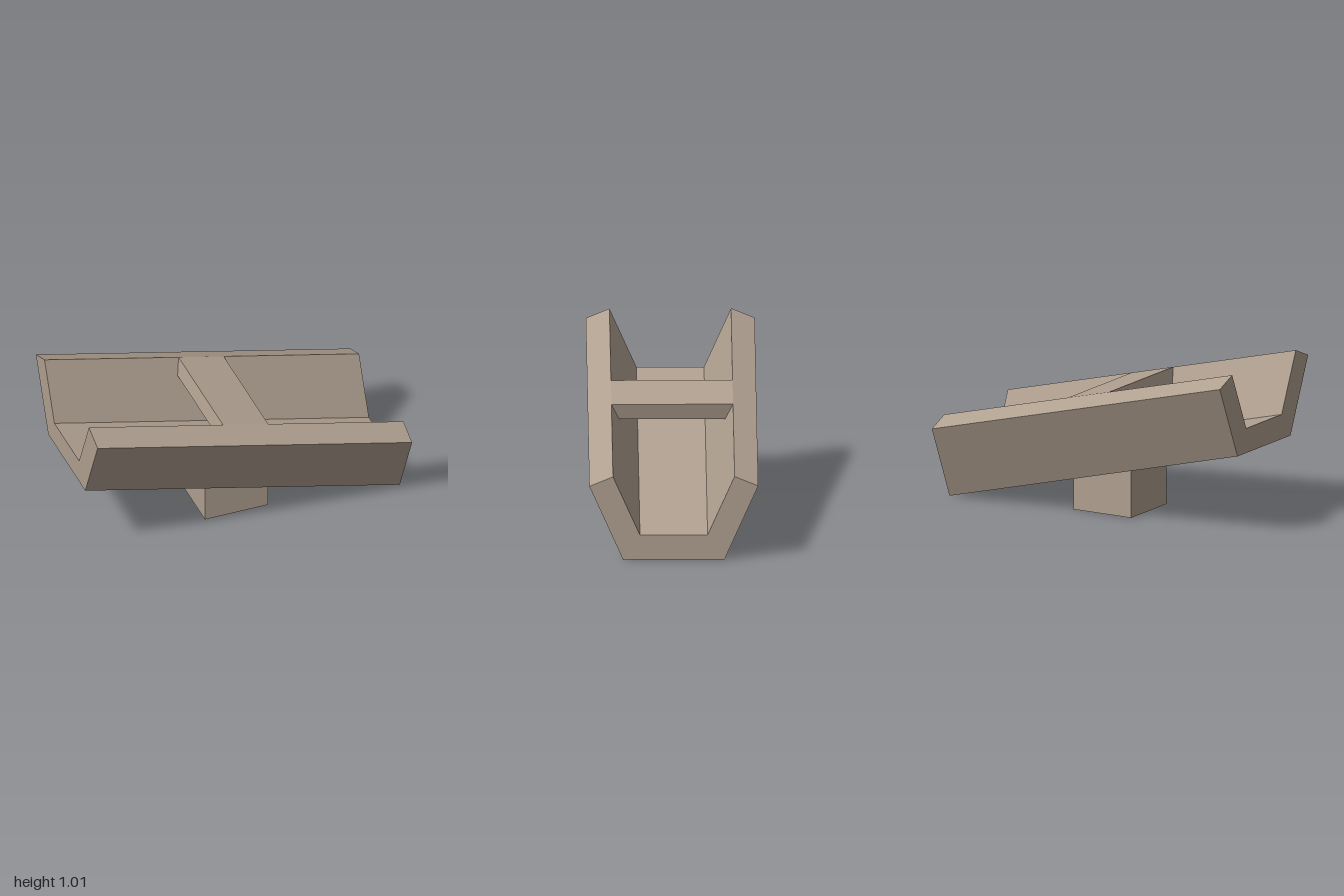
import * as THREE from 'three';

const SLOPE = 0.25;

// Extrudes a [z, y] outline along x, centred on x = 0
function prismAlongX(points, length) {
  const shape = new THREE.Shape(points.map(([z, y]) => new THREE.Vector2(z, y)));
  const geo = new THREE.ExtrudeGeometry(shape, { depth: length, bevelEnabled: false });
  return geo.translate(0, 0, -length / 2).rotateY(Math.PI / 2);
}

export function createModel() {
  const group = new THREE.Group();
  const stone = new THREE.MeshStandardMaterial({ color: 0xb0a090 });
  stone.name = 'warm stone';

  const add = (name, geo) => {
    const mesh = new THREE.Mesh(geo, stone);
    mesh.name = name;
    group.add(mesh);
    return mesh;
  };

  // Open channel, sheared so it falls towards +x while its ends stay vertical
  const half = [[0.3, 0], [0.5, 0.45], [0.36, 0.508], [0.2, 0.15]];
  const mirrored = half.map(([z, y]) => [-z, y]).reverse();
  const trough = prismAlongX([...half, ...mirrored], 2);
  const pos = trough.attributes.position;
  for (let i = 0; i < pos.count; i++) {
    pos.setY(i, pos.getY(i) + (1 - pos.getX(i)) * SLOPE);
  }
  trough.computeVertexNormals();
  add('trough', trough);

  // Tilted slab bridging the channel, flush with the inner rims
  const slab = prismAlongX([[-0.314, -0.1], [0.314, -0.1], [0.36, 0], [-0.36, 0]], 0.296);
  const bridge = add('crossSlab', slab);
  bridge.rotation.z = -Math.atan(SLOPE);
  bridge.position.set(-0.004, 0.759, 0);

  // Square support under the middle
  add('supportBlock', new THREE.BoxGeometry(0.4, 0.3, 0.4).translate(0, 0.15, 0));

  return group;
}
